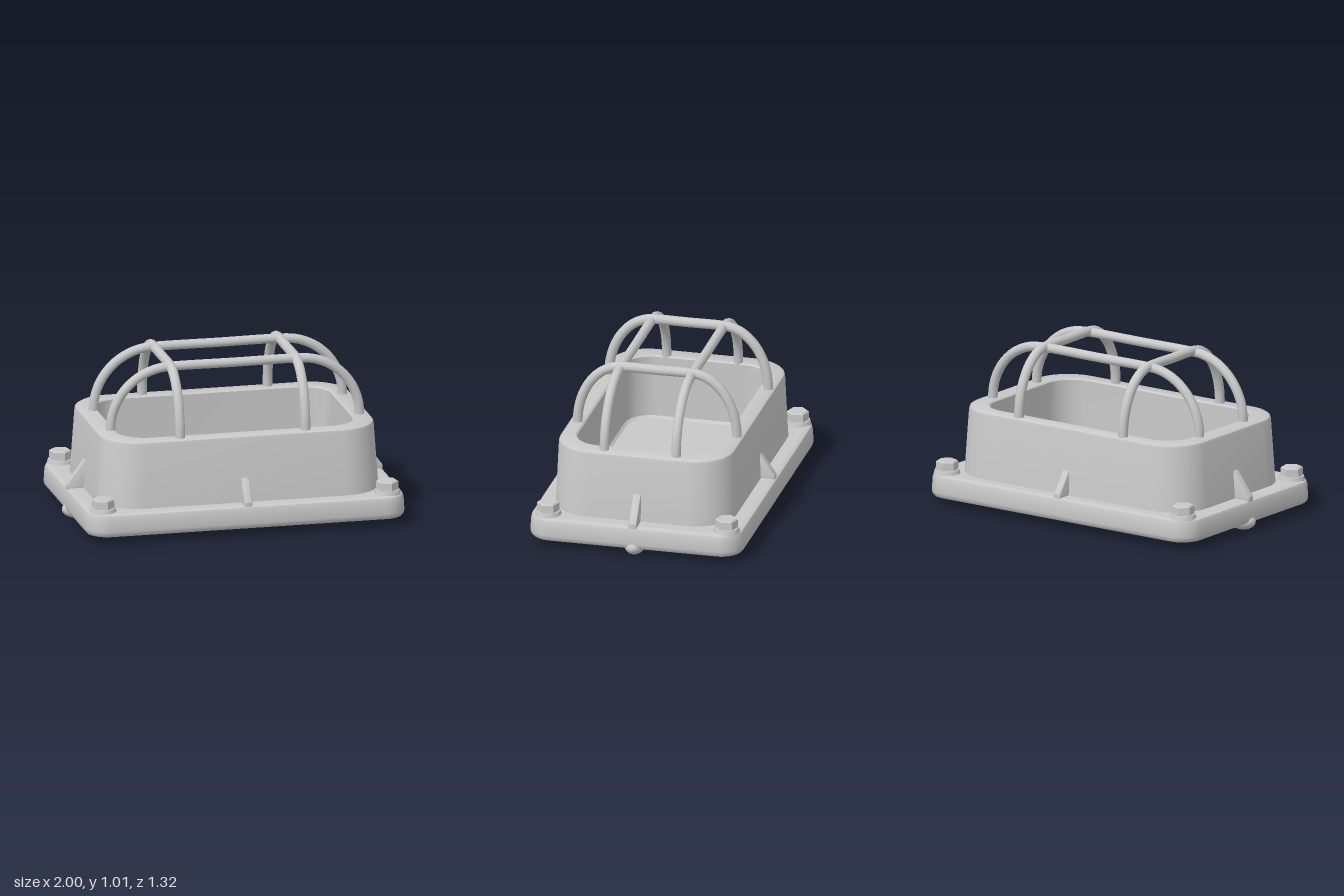
import * as THREE from 'three';
import { toCreasedNormals } from 'three/addons/utils/BufferGeometryUtils.js';

// Points around a rounded rectangle with half sizes hx, hz and corner radius r
function roundedRing(hx, hz, r, y) {
  const steps = 10, pts = [];
  [[1, 1], [-1, 1], [-1, -1], [1, -1]].forEach(([sx, sz], q) => {
    for (let i = 0; i <= steps; i++) {
      const a = (q + i / steps) * Math.PI / 2;
      pts.push([sx * (hx - r) + r * Math.cos(a), y, sz * (hz - r) + r * Math.sin(a)]);
    }
  });
  return pts;
}

// Skin a stack of rounded rectangles, closed at both ends
function loft(sections) {
  const rings = sections.map(s => roundedRing(...s));
  const n = rings[0].length, pos = rings.flat(2), idx = [];
  for (let k = 0; k < rings.length - 1; k++) {
    for (let j = 0; j < n; j++) {
      const a = k * n + j, b = k * n + (j + 1) % n;
      idx.push(a, a + n, b, b, a + n, b + n);
    }
  }
  const start = pos.length / 3, end = start + 1, last = (rings.length - 1) * n;
  pos.push(0, sections[0][3], 0, 0, sections[sections.length - 1][3], 0);
  for (let j = 0; j < n; j++) {
    const m = (j + 1) % n;
    idx.push(start, j, m, end, last + m, last + j);
  }
  const g = new THREE.BufferGeometry();
  g.setAttribute('position', new THREE.Float32BufferAttribute(pos, 3));
  g.setIndex(idx);
  return toCreasedNormals(g, 0.6);
}

// Arched bar in the x-y plane: quarter arc, straight top, quarter arc
function archBar(foot, shoulder, top, radius) {
  const pts = [], base = 0.6, steps = 8;
  pts.push(new THREE.Vector3(-foot, 0.55, 0));
  for (let i = 0; i <= steps; i++) {
    const a = i / steps * Math.PI / 2;
    pts.push(new THREE.Vector3(-shoulder - (foot - shoulder) * Math.cos(a),
      base + (top - base) * Math.sin(a), 0));
  }
  pts.push(new THREE.Vector3(0, top, 0));
  const mirrored = pts.slice(0, -1).reverse().map(p => new THREE.Vector3(-p.x, p.y, 0));
  const curve = new THREE.CatmullRomCurve3([...pts, ...mirrored], false, 'centripetal');
  return new THREE.TubeGeometry(curve, 96, radius, 12);
}

export function createModel() {
  const model = new THREE.Group();
  model.name = 'bulkheadLampHousing';
  const metal = new THREE.MeshStandardMaterial({ color: 0xc8c8c8 });
  metal.name = 'cast grey metal';

  function add(name, geometry, x = 0, y = 0, z = 0, turn = 0) {
    const mesh = new THREE.Mesh(geometry, metal);
    mesh.name = name;
    mesh.position.set(x, y, z);
    mesh.rotation.y = turn;
    model.add(mesh);
    return mesh;
  }

  // Mounting plate with softened edges
  add('basePlate', loft([
    [0.95, 0.625, 0.105, 0.05], [0.97, 0.645, 0.125, 0.052], [0.981, 0.656, 0.135, 0.065],
    [0.985, 0.66, 0.14, 0.085], [0.98, 0.654, 0.135, 0.165], [0.972, 0.647, 0.125, 0.182],
    [0.955, 0.63, 0.11, 0.19], [0.935, 0.61, 0.09, 0.19],
  ]));

  // Tapered open housing: outside wall, rim, inside wall and floor
  add('housing', loft([
    [0.875, 0.56, 0.25, 0.17], [0.872, 0.555, 0.25, 0.2],
    [0.845, 0.541, 0.24, 0.575], [0.84, 0.536, 0.235, 0.592], [0.828, 0.524, 0.225, 0.6],
    [0.735, 0.45, 0.18, 0.6], [0.725, 0.44, 0.17, 0.592],
    [0.72, 0.435, 0.165, 0.215], [0.705, 0.42, 0.15, 0.2], [0.68, 0.395, 0.125, 0.2],
  ]));

  // Protective cage: two long bars crossing two short bars
  const longBar = archBar(0.768, 0.4, 0.97, 0.029);
  const shortBar = archBar(0.492, 0.215, 0.979, 0.03);
  for (const s of [-1, 1]) {
    add('longCageBar', longBar, 0.015, 0, s * 0.222);
    add('shortCageBar', shortBar, s * 0.387, 0, -0.006, Math.PI / 2);
  }

  // Corner bolts: washer, hexagonal head and chamfered top
  const washer = toCreasedNormals(new THREE.CylinderGeometry(0.074, 0.082, 0.03, 24), 0.6);
  const head = toCreasedNormals(new THREE.CylinderGeometry(0.067, 0.07, 0.06, 6), 0.3);
  const cap = toCreasedNormals(new THREE.CylinderGeometry(0.058, 0.067, 0.008, 6), 0.3);
  for (const x of [-0.877, 0.877]) {
    for (const z of [-0.558, 0.546]) {
      add('boltWasher', washer, x, 0.198, z);
      add('boltHead', head, x, 0.23, z, 0.2);
      add('boltCap', cap, x, 0.264, z, 0.2);
    }
  }

  // Triangular stiffening ribs in the middle of each side
  function rib(reach, height) {
    const shape = new THREE.Shape();
    shape.moveTo(-0.05, 0);
    shape.lineTo(reach, 0);
    shape.lineTo(reach, 0.03);
    shape.lineTo(0, height);
    shape.lineTo(-0.05, height);
    const g = new THREE.ExtrudeGeometry(shape, {
      depth: 0.034, bevelEnabled: true, bevelThickness: 0.008, bevelSize: 0.008,
      bevelOffset: -0.008, bevelSegments: 2,
    });
    g.translate(0, 0, -0.017);
    return toCreasedNormals(g, 0.6);
  }
  const endRib = rib(0.11, 0.18), sideRib = rib(0.095, 0.165);
  add('leftRib', endRib, 0.865, 0.18, 0);
  add('rightRib', endRib, -0.865, 0.18, 0, Math.PI);
  add('frontRib', sideRib, 0, 0.18, 0.547, -Math.PI / 2);
  add('backRib', sideRib, 0, 0.18, -0.547, Math.PI / 2);

  // Small rounded feet under the two ends
  const foot = new THREE.SphereGeometry(1, 24, 16);
  for (const s of [-1, 1]) {
    add('foot', foot, s * 0.905, 0.055, 0).scale.set(0.095, 0.055, 0.062);
  }

  return model;
}
